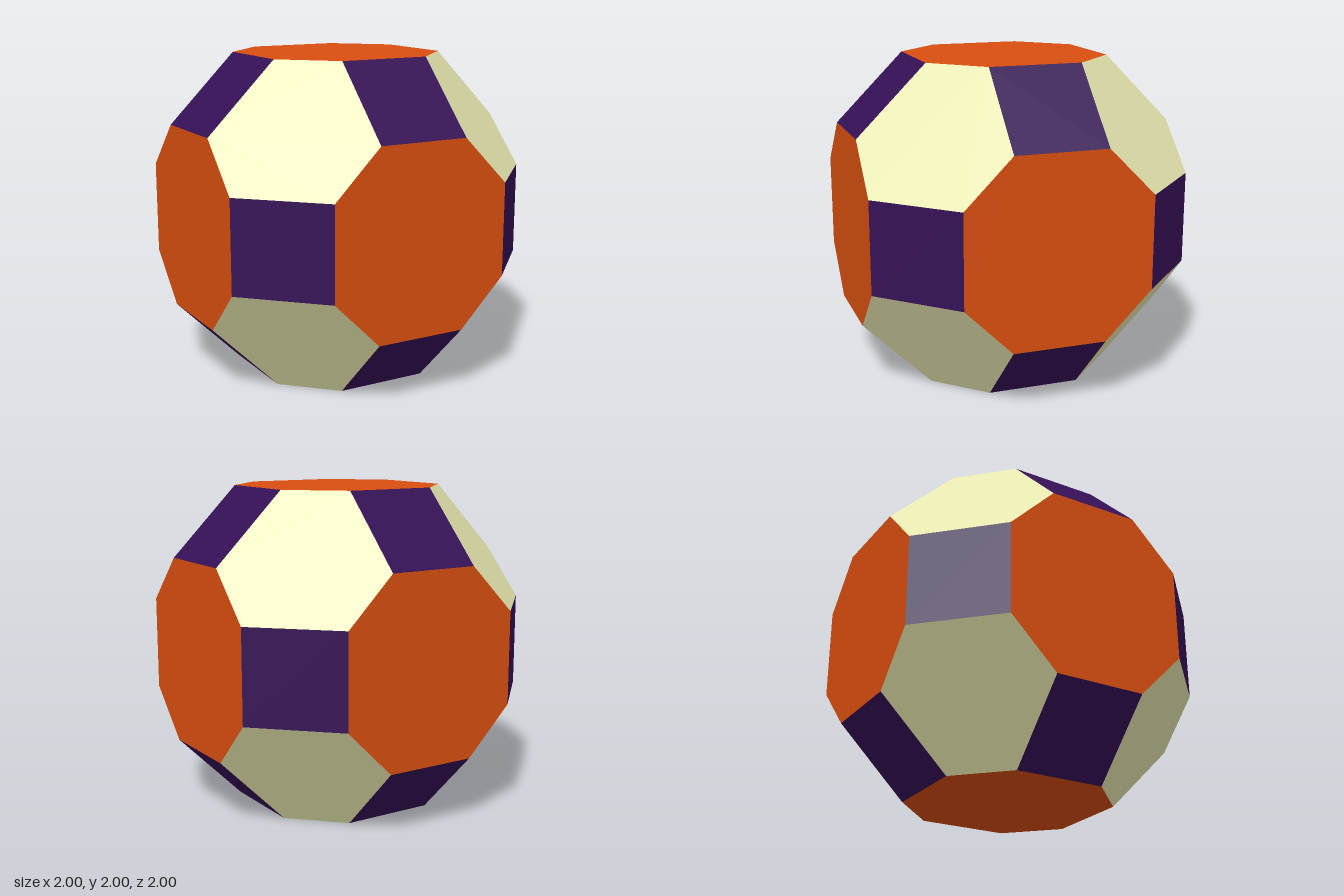
import * as THREE from 'three';

// Corners are all signed permutations of these three distances
const A = 0.285, B = 0.575, C = 1;

function makeCorners() {
  const corners = [];
  const orders = [[A, B, C], [A, C, B], [B, A, C], [B, C, A], [C, A, B], [C, B, A]];
  for (const [x, y, z] of orders)
    for (const sx of [-1, 1])
      for (const sy of [-1, 1])
        for (const sz of [-1, 1]) corners.push(new THREE.Vector3(x * sx, y * sy, z * sz));
  return corners;
}

// Flat polygon through the corners lying furthest along a direction
function faceGeometry(corners, direction) {
  const n = direction.clone().normalize();
  const reach = Math.max(...corners.map((p) => p.dot(n)));
  const ring = corners.filter((p) => p.dot(n) > reach - 1e-4);
  const centre = n.clone().multiplyScalar(reach);
  const u = ring[0].clone().sub(centre).normalize();
  const v = n.clone().cross(u);
  const angle = (p) => Math.atan2(p.clone().sub(centre).dot(v), p.clone().sub(centre).dot(u));
  ring.sort((p, q) => angle(p) - angle(q));

  const points = [];
  for (let i = 1; i < ring.length - 1; i++) points.push(ring[0], ring[i], ring[i + 1]);
  const geometry = new THREE.BufferGeometry().setFromPoints(points);
  geometry.computeVertexNormals();
  return geometry;
}

export function createModel() {
  const model = new THREE.Group();
  model.name = 'truncatedCuboctahedron';
  const corners = makeCorners();

  // Face families, by how many axes the face direction leans towards
  const families = [
    { name: 'octagon', color: 0xd94e10 },
    { name: 'square', color: 0x351055 },
    { name: 'hexagon', color: 0xe8e8b0 },
  ].map(({ name, color }) => {
    const group = new THREE.Group();
    group.name = name + 'Faces';
    model.add(group);
    return { name, group, material: new THREE.MeshStandardMaterial({ color, flatShading: true }) };
  });

  for (let x = -1; x <= 1; x++)
    for (let y = -1; y <= 1; y++)
      for (let z = -1; z <= 1; z++) {
        const axes = Math.abs(x) + Math.abs(y) + Math.abs(z);
        if (axes === 0) continue;
        const { name, group, material } = families[axes - 1];
        const face = new THREE.Mesh(faceGeometry(corners, new THREE.Vector3(x, y, z)), material);
        face.name = name + 'Face';
        group.add(face);
      }

  // Stand on the ground
  model.children.forEach((group) => (group.position.y = C));
  return model;
}
